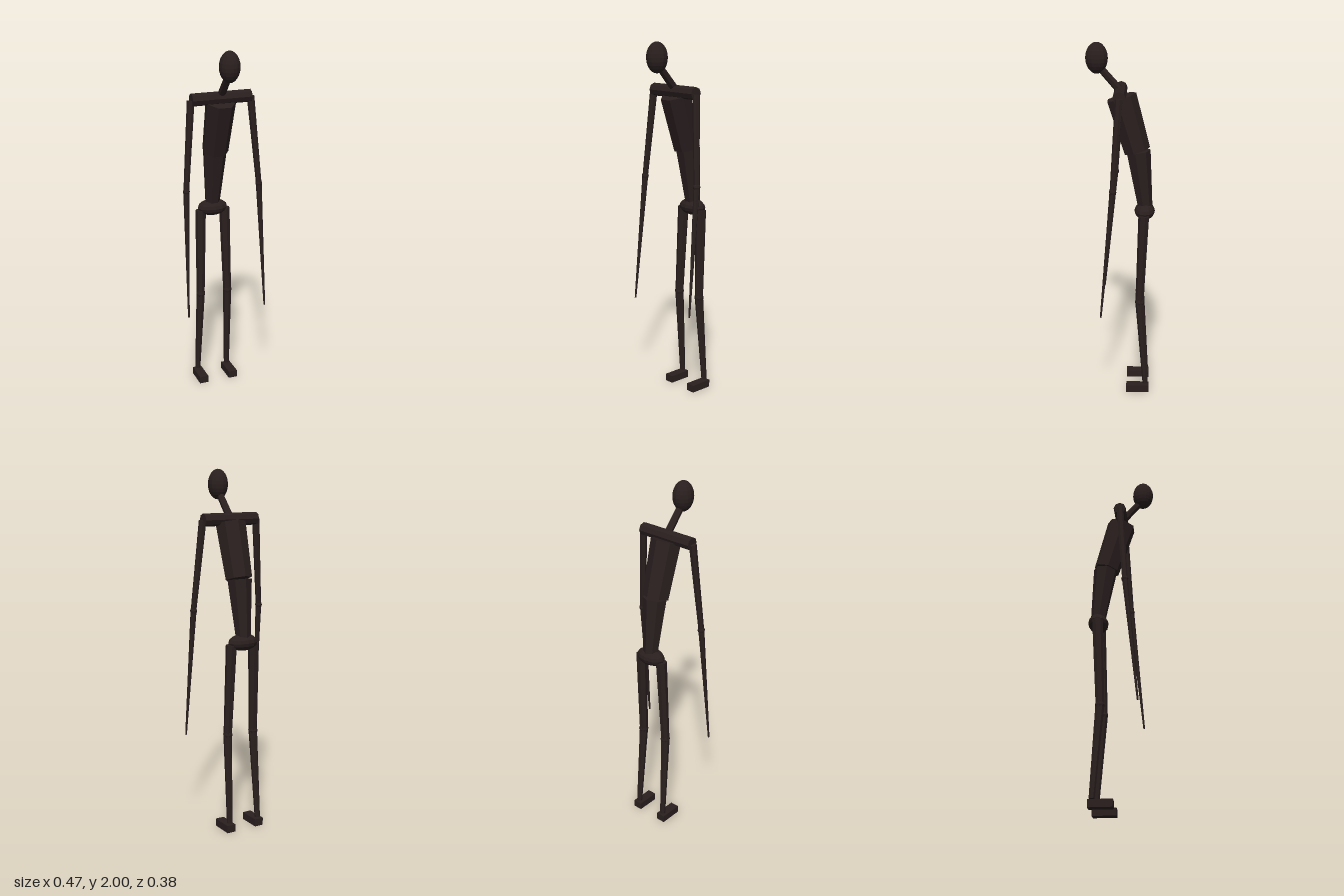
import * as THREE from 'three';

export function createModel() {
  const model = new THREE.Group();
  model.name = 'slenderFigure';
  const skin = new THREE.MeshStandardMaterial({ color: 0x2a1f1f, flatShading: true });
  skin.name = 'darkBrown';

  const add = (name, geometry) => {
    const mesh = new THREE.Mesh(geometry, skin);
    mesh.name = name;
    model.add(mesh);
    return mesh;
  };

  // Tapered bar between two points, radius r0 at a and r1 at b (a is the lower end)
  const bar = (name, a, b, r0, r1, sides, start = 0) => {
    const p = new THREE.Vector3(...a), q = new THREE.Vector3(...b);
    const axis = q.clone().sub(p);
    const mesh = add(name, new THREE.CylinderGeometry(r1, r0, axis.length(), sides, 1, false, start, Math.PI * 2));
    mesh.position.copy(p).add(q).multiplyScalar(0.5);
    mesh.quaternion.setFromUnitVectors(new THREE.Vector3(0, 1, 0), axis.normalize());
    return mesh;
  };

  // Faceted ellipsoid
  const ball = (name, pos, size, w, h) => {
    const mesh = add(name, new THREE.SphereGeometry(1, w, h).scale(...size));
    mesh.position.set(...pos);
    return mesh;
  };

  // Head and forward-leaning neck
  ball('head', [0, 1.918, 0.13], [0.055, 0.083, 0.06], 16, 12);
  bar('neck', [0, 1.74, 0.0], [0, 1.865, 0.11], 0.022, 0.02, 7);

  // Shoulder bar and hunched torso in two tilted segments
  bar('shoulderBar', [-0.168, 1.733, 0.005], [0.168, 1.733, 0.005], 0.035, 0.035, 8);
  bar('chest', [0, 1.418, -0.086], [0, 1.712, 0.0], 0.074, 0.084, 7, Math.PI);
  bar('waist', [0, 1.08, -0.135], [0, 1.415, -0.093], 0.04, 0.068, 7, Math.PI);
  ball('pelvis', [0, 1.075, -0.131], [0.088, 0.046, 0.057], 12, 8);

  // Mirrored limbs
  for (const [side, s] of [['left', 1], ['right', -1]]) {
    const shoulder = [s * 0.17, 1.73, 0.006];
    const elbow = [s * 0.212, 1.243, 0.038];
    bar(side + 'UpperArm', elbow, shoulder, 0.016, 0.021, 7);
    ball(side + 'Elbow', elbow, [0.02, 0.02, 0.02], 8, 6);
    bar(side + 'Forearm', [s * 0.23, 0.525, 0.105], elbow, 0.005, 0.017, 7);

    const knee = [s * 0.083, 0.557, -0.108];
    bar(side + 'Thigh', knee, [s * 0.072, 1.065, -0.128], 0.024, 0.031, 7);
    ball(side + 'Knee', knee, [0.027, 0.027, 0.027], 8, 6);
    bar(side + 'Shin', [s * 0.093, 0.05, -0.144], knee, 0.016, 0.025, 7);
    add(side + 'Foot', new THREE.BoxGeometry(0.052, 0.042, 0.13)).position.set(s * 0.092, 0.021, -0.098);
  }
  return model;
}
